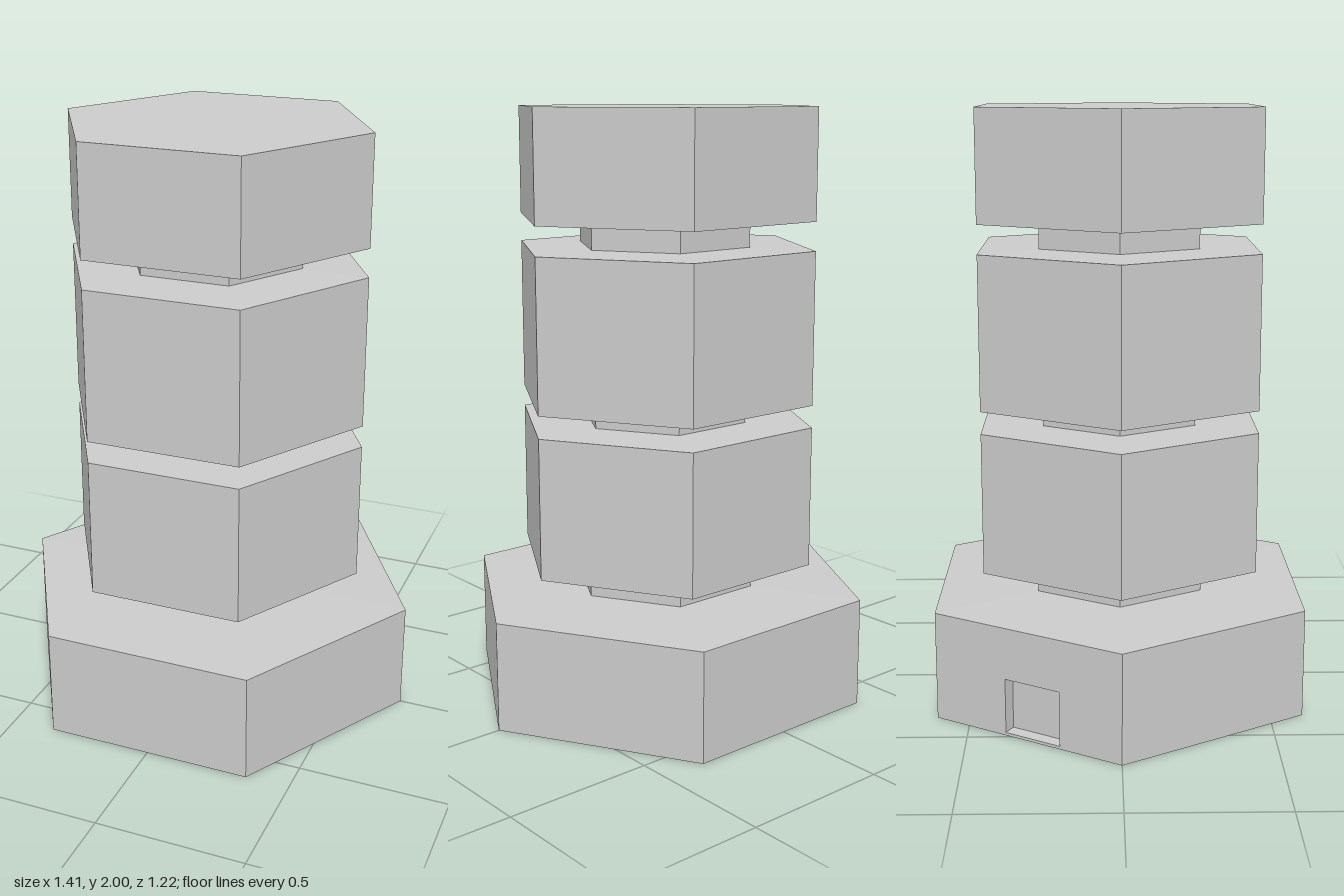
import * as THREE from 'three';

const BASE_R = 0.705, BASE_H = 0.37, SIDES = 6;
const APOTHEM = BASE_R * Math.cos(Math.PI / SIDES);

const material = new THREE.MeshStandardMaterial({
  color: 0xcccccc, flatShading: true, side: THREE.DoubleSide,
});

function addMesh(parent, name, geometry) {
  const mesh = new THREE.Mesh(geometry, material);
  mesh.name = name;
  parent.add(mesh);
  return mesh;
}

// Hexagonal shell turned from [radius, height] pairs, corners on the x axis
function hexShell(profile) {
  const points = profile.map(([r, y]) => new THREE.Vector2(r, y));
  const geometry = new THREE.LatheGeometry(points, SIDES, Math.PI / 2).toNonIndexed();
  geometry.computeVertexNormals();
  return geometry;
}

function rectangle(PathType, x0, y0, x1, y1) {
  return new PathType([[x0, y0], [x1, y0], [x1, y1], [x0, y1]]
    .map(([x, y]) => new THREE.Vector2(x, y)));
}

export function createModel() {
  const group = new THREE.Group();
  group.name = 'hexagonalTower';

  // Hollow upper shell: base roof, then three blocks separated by narrow necks
  addMesh(group, 'baseRoof', hexShell([[BASE_R, BASE_H], [0.32, 0.375]]));
  const blocks = [
    { name: 'lower', neck: 0.32, from: 0.375, bottom: 0.475, top: 0.953 },
    { name: 'middle', neck: 0.293, from: 0.953, bottom: 1.028, top: 1.54 },
    { name: 'upper', neck: 0.303, from: 1.545, bottom: 1.635, top: 2 },
  ];
  const R = 0.525;
  blocks.forEach(({ name, neck, from, bottom, top }, i) => {
    const next = blocks[i + 1];
    addMesh(group, name + 'Neck', hexShell([[neck, from], [neck, bottom]]));
    addMesh(group, name + 'Block', hexShell([
      [neck, bottom], [R, bottom], [R, top],
      next ? [next.neck, next.from] : [0, top],
    ]));
  });

  // Base walls, open underneath; one wall has a doorway
  const door = { x0: -0.08, x1: 0.125, y0: 0.01, y1: 0.195, depth: 0.045 };
  for (let i = 0; i < SIDES; i++) {
    const wall = new THREE.Group();
    wall.name = 'baseSide';
    wall.rotation.y = (i * Math.PI) / 3;
    group.add(wall);

    const shape = rectangle(THREE.Shape, -BASE_R / 2, 0, BASE_R / 2, BASE_H);
    if (i === 4) {
      shape.holes.push(rectangle(THREE.Path, door.x0, door.y0, door.x1, door.y1));

      // Recess behind the doorway: a box without its front face
      const box = new THREE.BoxGeometry(door.x1 - door.x0, door.y1 - door.y0, door.depth);
      const index = Array.from(box.index.array);
      index.splice(24, 6);
      box.setIndex(index);
      box.clearGroups();
      addMesh(wall, 'doorRecess', box).position.set(
        (door.x0 + door.x1) / 2, (door.y0 + door.y1) / 2, APOTHEM - door.depth / 2);
    }
    addMesh(wall, 'baseWall', new THREE.ShapeGeometry(shape)).position.z = APOTHEM;
  }
  return group;
}
